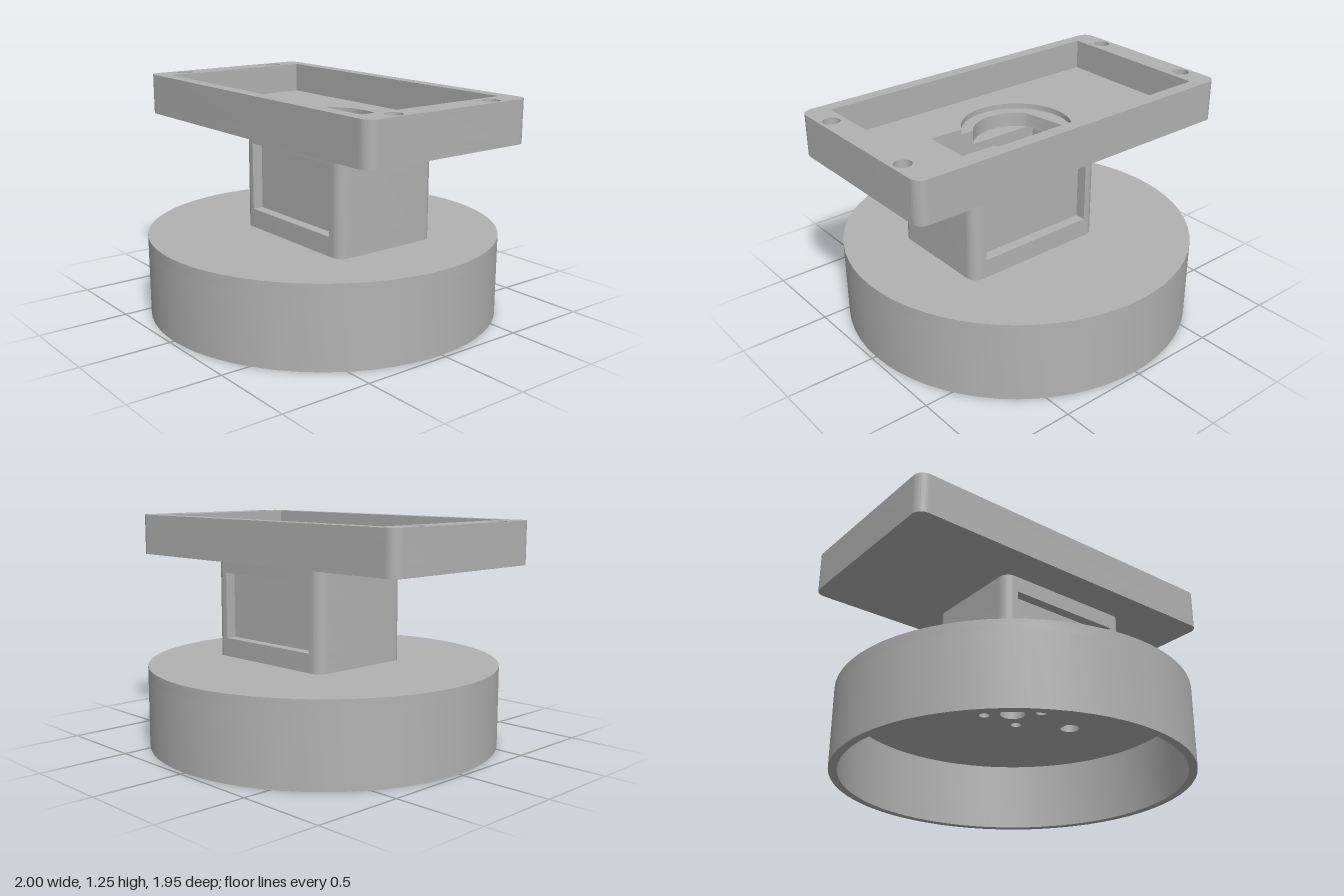
import * as THREE from 'three';
import { toCreasedNormals } from 'three/addons/utils/BufferGeometryUtils.js';

const HALF = 0.138; // half depth of the central slot

// Closed outline from [x, v] corners, where v points to the back (-z)
function poly(points) {
  return new THREE.Shape(points.map(([x, v]) => new THREE.Vector2(x, v)));
}

function rect(x0, x1, v0, v1) {
  return poly([[x0, v0], [x1, v0], [x1, v1], [x0, v1]]);
}

function circle(x, v, r) {
  const s = new THREE.Shape();
  s.absarc(x, v, r, 0, Math.PI * 2, false);
  return s;
}

// Rounded rectangle, optionally with a recess of given depth in front and back
function rounded(x0, x1, h, r, recess) {
  const s = new THREE.Shape();
  s.moveTo(x0 + r, -h);
  if (recess) {
    s.lineTo(recess.x0, -h);
    s.lineTo(recess.x0, -h + recess.d);
    s.lineTo(recess.x1, -h + recess.d);
    s.lineTo(recess.x1, -h);
  }
  s.lineTo(x1 - r, -h);
  s.absarc(x1 - r, -h + r, r, -Math.PI / 2, 0, false);
  s.lineTo(x1, h - r);
  s.absarc(x1 - r, h - r, r, 0, Math.PI / 2, false);
  if (recess) {
    s.lineTo(recess.x1, h);
    s.lineTo(recess.x1, h - recess.d);
    s.lineTo(recess.x0, h - recess.d);
    s.lineTo(recess.x0, h);
  }
  s.lineTo(x0 + r, h);
  s.absarc(x0 + r, h - r, r, Math.PI / 2, Math.PI, false);
  s.lineTo(x0, -h + r);
  s.absarc(x0 + r, -h + r, r, Math.PI, Math.PI * 1.5, false);
  return s;
}

// Wide shallow circle joined with the slot
function wideOpening() {
  const r = 0.3, a = Math.asin(HALF / r);
  const s = new THREE.Shape();
  s.moveTo(0.465, -HALF);
  s.lineTo(0.465, HALF);
  s.absarc(0, 0, r, a, Math.PI * 2 - a, false);
  s.closePath();
  return s;
}

// Narrower circle joined with the slot and the cable notch
function innerOpening() {
  const r = 0.235, a = Math.asin(HALF / r);
  const s = new THREE.Shape();
  s.moveTo(-0.235, -HALF);
  s.absarc(0, 0, r, Math.PI + a, Math.PI * 2 - a, false);
  s.lineTo(0.465, -HALF);
  s.lineTo(0.465, HALF);
  s.lineTo(0.185, HALF);
  s.lineTo(0.185, 0.23);
  s.absarc(0, 0, r, Math.acos(0.05 / r), Math.PI - a, false);
  s.lineTo(-0.235, HALF);
  s.closePath();
  return s;
}

// Slot with notch at ledge height
function slotOpening() {
  return poly([[-0.235, -HALF], [0.465, -HALF], [0.465, HALF], [0.185, HALF],
    [0.185, 0.23], [0.05, 0.23], [0.05, HALF], [-0.235, HALF]]);
}

// Deep pocket between the ledges, with cable slits
function pocketOpening() {
  return poly([[-0.13, -HALF], [0.365, -HALF], [0.365, -0.05], [0.387, -0.05],
    [0.387, 0.05], [0.365, 0.05], [0.365, HALF], [0.185, HALF],
    [0.185, 0.2], [0.08, 0.2], [0.08, HALF], [-0.13, HALF]]);
}

export function createModel() {
  const model = new THREE.Group();
  const grey = new THREE.MeshStandardMaterial({ color: 0xb2b2b2 });
  grey.name = 'plain grey';

  // Horizontal slab from y0 to y1
  function slab(parent, name, y0, y1, outline, holes = []) {
    const shape = outline.clone();
    shape.holes = holes;
    const geo = new THREE.ExtrudeGeometry(shape, {
      depth: y1 - y0, bevelEnabled: false, curveSegments: 32,
    });
    geo.rotateX(-Math.PI / 2);
    geo.translate(0, y0, 0);
    const mesh = new THREE.Mesh(toCreasedNormals(geo, 0.6), grey);
    mesh.name = name;
    parent.add(mesh);
  }

  function part(name) {
    const g = new THREE.Group();
    g.name = name;
    model.add(g);
    return g;
  }

  const corners = (x, v, r) =>
    [[1, 1], [1, -1], [-1, 1], [-1, -1]].map(([i, j]) => circle(i * x, j * v, r));
  const bore = () => circle(0, 0, 0.07);
  const cableHole = () => circle(0.42, 0, 0.055);

  // Hollow round base, open below
  const base = part('base');
  slab(base, 'baseWall', 0, 0.395, circle(0, 0, 0.975), [circle(0, 0, 0.93)]);
  slab(base, 'baseTop', 0.395, 0.45, circle(0, 0, 0.975),
    [bore(), cableHole(), ...corners(0.112, 0.112, 0.03)]);
  slab(base, 'baseBoss', 0.375, 0.395, circle(0, 0, 0.34),
    [bore(), ...corners(0.112, 0.112, 0.03)]);

  // Column with a stepped pocket and recessed front and back panels
  const column = part('column');
  const plain = rounded(-0.3, 0.55, 0.32, 0.06);
  const recessed = rounded(-0.3, 0.55, 0.32, 0.06, { x0: -0.22, x1: 0.465, d: 0.06 });
  slab(column, 'pocketFloor', 0.45, 0.5, plain,
    [bore(), cableHole(), ...corners(0.112, 0.112, 0.058)]);
  slab(column, 'columnFoot', 0.5, 0.555, plain, [pocketOpening()]);
  slab(column, 'columnBody', 0.555, 0.85, recessed,
    [pocketOpening(), circle(-0.18, 0, 0.02), circle(0.412, 0, 0.02)]);
  slab(column, 'columnAboveLedges', 0.85, 0.93, recessed, [slotOpening()]);
  slab(column, 'columnNeck', 0.93, 0.97, plain, [slotOpening()]);
  slab(column, 'columnHead', 0.97, 1.02, plain, [innerOpening()]);

  // Rectangular tray with corner screw holes
  const tray = part('tray');
  const trayOutline = rounded(-1, 1, 0.525, 0.06);
  slab(tray, 'trayBottom', 1.02, 1.05, trayOutline, [innerOpening()]);
  slab(tray, 'trayFloor', 1.05, 1.08, trayOutline, [wideOpening()]);
  slab(tray, 'trayRim', 1.08, 1.25, trayOutline,
    [rect(-0.863, 0.863, -0.453, 0.453), ...corners(0.937, 0.32, 0.045)]);

  return model;
}
